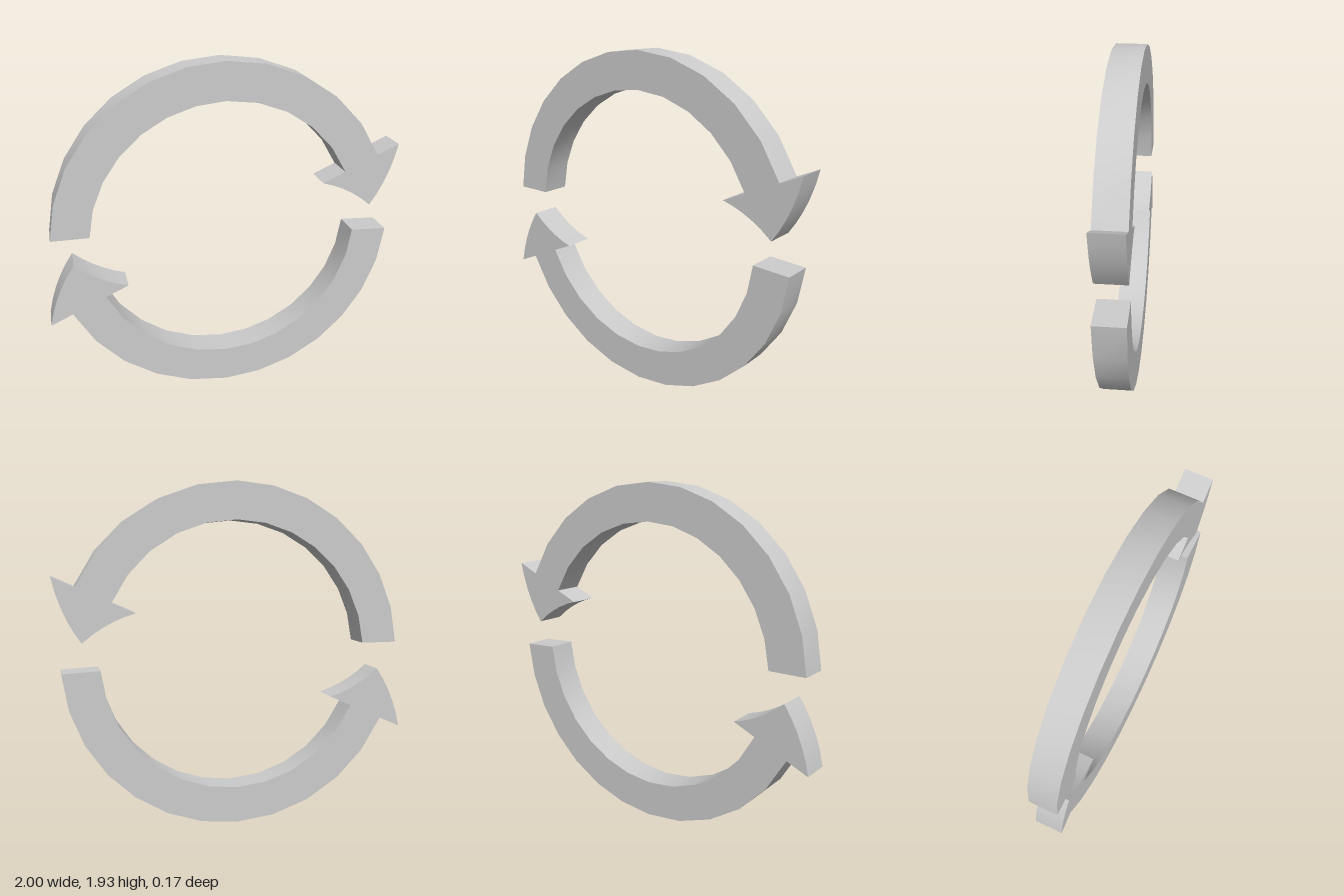
import * as THREE from 'three';
import { toCreasedNormals } from 'three/addons/utils/BufferGeometryUtils.js';

const CENTER_Y = 0.965, DEPTH = 0.168;
const OUTER = 0.963, INNER = 0.756;   // band radii
const NECK = 24.4, TIP = 6.7;         // arrowhead start and tip angles
const BARB_OUT = 1.098, BARB_IN = 0.616, TIP_R = 0.856;

// Points swept from one polar position to another
function sweep(r0, a0, r1, a1, steps) {
  return Array.from({ length: steps + 1 }, (_, i) => {
    const t = i / steps;
    const r = THREE.MathUtils.lerp(r0, r1, t);
    const a = THREE.MathUtils.degToRad(THREE.MathUtils.lerp(a0, a1, t));
    return new THREE.Vector2(r * Math.cos(a), r * Math.sin(a));
  });
}

// Curved arrow: band from the tail to the neck, then a bent arrowhead
function arrowGeometry(tailOuter, tailInner) {
  const shape = new THREE.Shape([
    ...sweep(OUTER, tailOuter, OUTER, 90, 7),
    ...sweep(OUTER, 90, OUTER, NECK, 5).slice(1),
    ...sweep(BARB_OUT, NECK, TIP_R, TIP, 5),
    ...sweep(TIP_R, TIP, BARB_IN, NECK, 5).slice(1),
    ...sweep(INNER, NECK, INNER, 90, 5),
    ...sweep(INNER, 90, INNER, tailInner, 7).slice(1),
  ]);
  const geometry = new THREE.ExtrudeGeometry(shape, { depth: DEPTH, bevelEnabled: false });
  geometry.translate(0, 0, -DEPTH / 2);
  return toCreasedNormals(geometry, 0.5);
}

export function createModel() {
  const model = new THREE.Group();
  model.name = 'circularArrows';
  const material = new THREE.MeshStandardMaterial({ color: 0xcccccc });

  // Two arrows chasing each other, half a turn apart
  const arrows = [
    ['upperArrow', 176.7, 175.8, 0],
    ['lowerArrow', 176.4, 176.2, Math.PI],
  ];
  for (const [name, tailOuter, tailInner, turn] of arrows) {
    const arrow = new THREE.Mesh(arrowGeometry(tailOuter, tailInner), material);
    arrow.name = name;
    arrow.position.y = CENTER_Y;
    arrow.rotation.z = turn;
    model.add(arrow);
  }
  return model;
}
